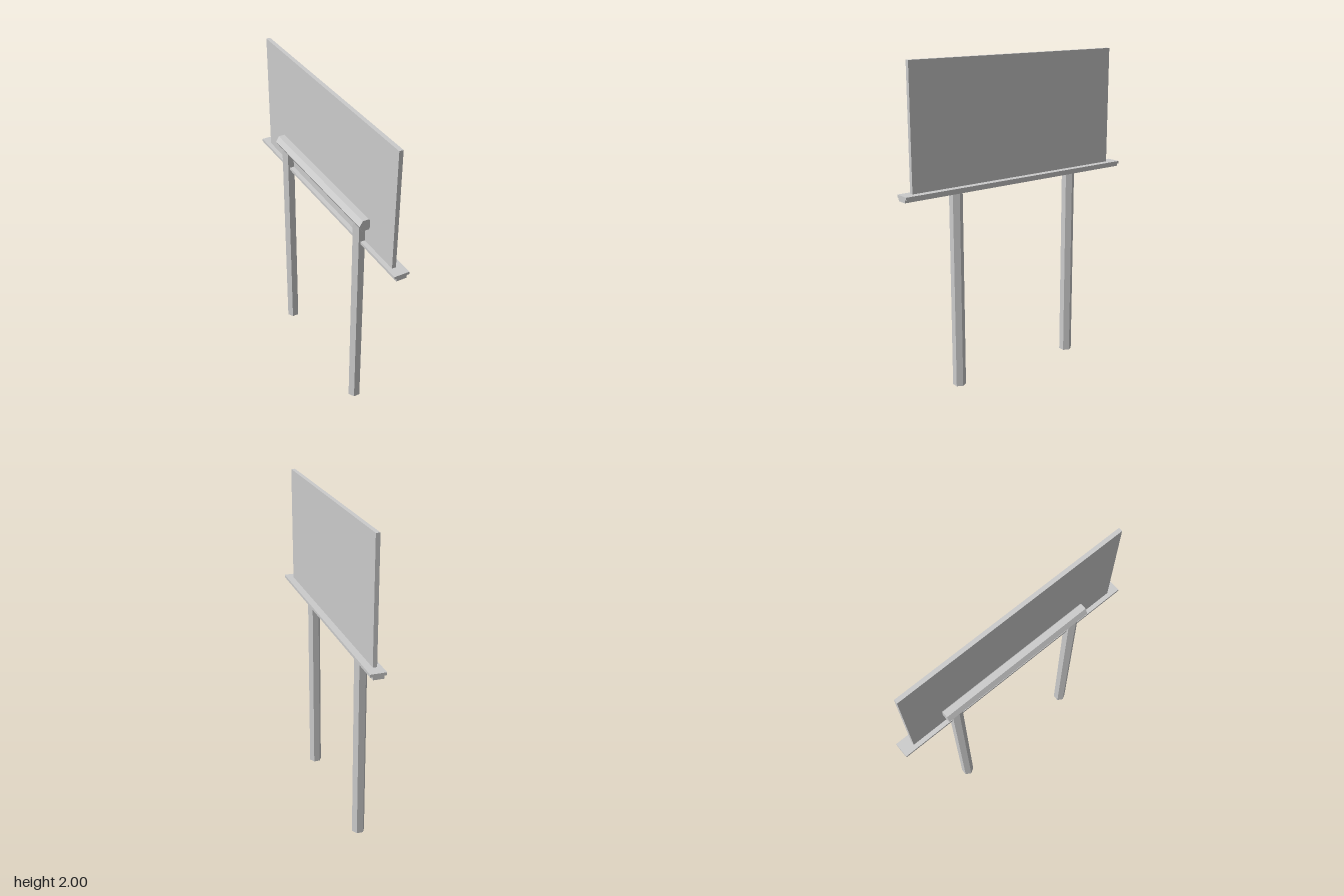
import * as THREE from 'three';

const material = new THREE.MeshStandardMaterial({ color: 0xcccccc, flatShading: true });

export function createModel() {
  const group = new THREE.Group();

  const add = (name, geometry, x, y, z) => {
    const mesh = new THREE.Mesh(geometry, material);
    mesh.name = name;
    mesh.position.set(x, y, z);
    group.add(mesh);
    return mesh;
  };

  // Box given by its x and y extents, its length along z and its z centre
  const slab = (name, x0, x1, y0, y1, length, z = 0) =>
    add(name, new THREE.BoxGeometry(x1 - x0, y1 - y0, length), (x0 + x1) / 2, (y0 + y1) / 2, z);

  // Hexagonal bar, with two corners pointing along x
  const hexBar = (length) => new THREE.CylinderGeometry(0.04, 0.04, length, 6).rotateY(Math.PI / 2);

  // Display board
  slab('board', -0.003, 0.022, 1.263, 2, 1.485, 0.004);

  // Stepped ledge under the board
  slab('ledgeTop', -0.03, 0.065, 1.248, 1.265, 1.626);
  slab('ledgeBase', -0.016, 0.049, 1.23, 1.248, 1.626);

  // Two posts, reaching up to the rear cross beam
  for (const [name, z] of [['leftPost', 0.428], ['rightPost', -0.443]]) {
    add(name, hexBar(1.4), -0.022, 0.7, z);
  }

  // Cross beam, with flat faces up and down
  const beam = add('crossBeam', hexBar(1.026), -0.029, 1.409, -0.004);
  beam.rotation.x = Math.PI / 2;

  return group;
}
